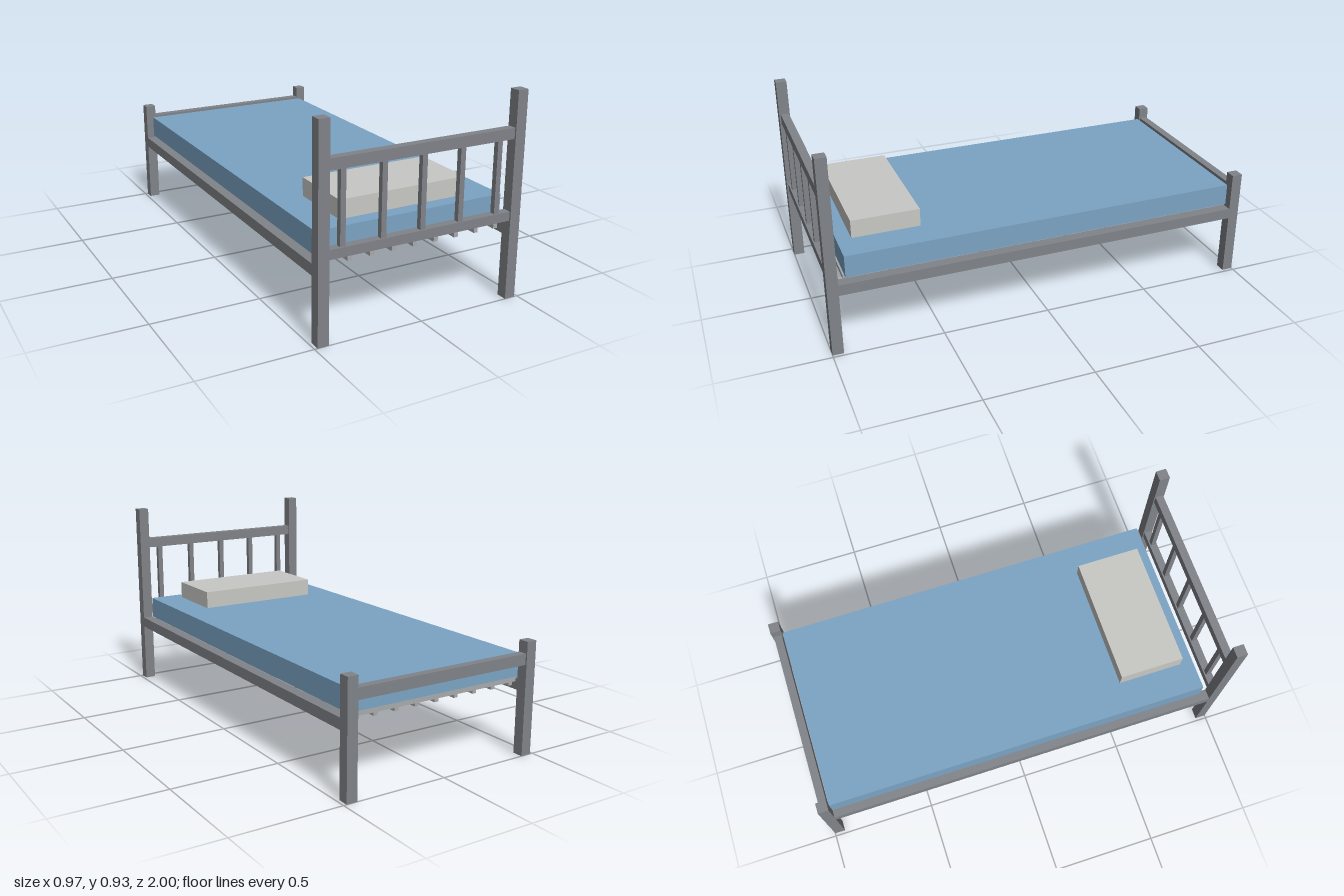
import * as THREE from 'three';

export function createModel() {
  const bed = new THREE.Group();
  bed.name = 'bed';

  const material = (name, color) => {
    const m = new THREE.MeshStandardMaterial({ color });
    m.name = name;
    return m;
  };
  const frame = material('frame grey', 0x808388);
  const slat = material('slat grey', 0xa9aaad);
  const blue = material('mattress blue', 0x7ba4c4);
  const linen = material('pillow linen', 0xc8c8c5);

  // Box given by its extents along each axis
  const box = (name, mat, [x0, x1], [y0, y1], [z0, z1]) => {
    const mesh = new THREE.Mesh(new THREE.BoxGeometry(x1 - x0, y1 - y0, z1 - z0), mat);
    mesh.position.set((x0 + x1) / 2, (y0 + y1) / 2, (z0 + z1) / 2);
    mesh.name = name;
    bed.add(mesh);
  };
  const around = (c, size) => [c - size / 2, c + size / 2];

  // Corner posts and side rails
  for (const side of [-1, 1]) {
    const x = around(side * 0.461, 0.05);
    const label = side > 0 ? 'left' : 'right';
    box(label + 'HeadPost', frame, x, [0, 0.927], [0.95, 1]);
    box(label + 'FootPost', frame, x, [0, 0.515], [-1, -0.95]);
    box(label + 'SideRail', frame, around(side * 0.461, 0.05), [0.29, 0.34], [-0.95, 0.95]);
  }

  // Headboard and footboard rails
  const span = [-0.436, 0.436];
  box('headTopRail', frame, span, [0.72, 0.768], around(0.974, 0.038));
  box('headLowerRail', frame, span, [0.36, 0.401], around(0.974, 0.038));
  box('footRail', frame, span, [0.412, 0.462], around(-0.974, 0.038));

  // Headboard spindles
  for (let i = -2; i <= 2; i++) {
    box('headSpindle', frame, around(i * 0.185, 0.024), [0.401, 0.72], around(0.974, 0.024));
  }

  // Support grid: lengthwise bars under crosswise slats
  for (let i = -4; i <= 4; i++) {
    box('lengthwiseBar', slat, around(i * 0.1026, 0.02), [0.31, 0.33], [-0.936, 0.936]);
  }
  for (let i = 0; i < 10; i++) {
    box('crossSlat', slat, [-0.427, 0.427], [0.33, 0.35], around(0.908 - i * 0.2053, 0.02));
  }

  // Bedding
  box('mattress', blue, [-0.45, 0.45], [0.35, 0.452], [-0.949, 0.91]);
  box('pillow', linen, [-0.306, 0.306], [0.452, 0.535], [0.535, 0.845]);

  return bed;
}
